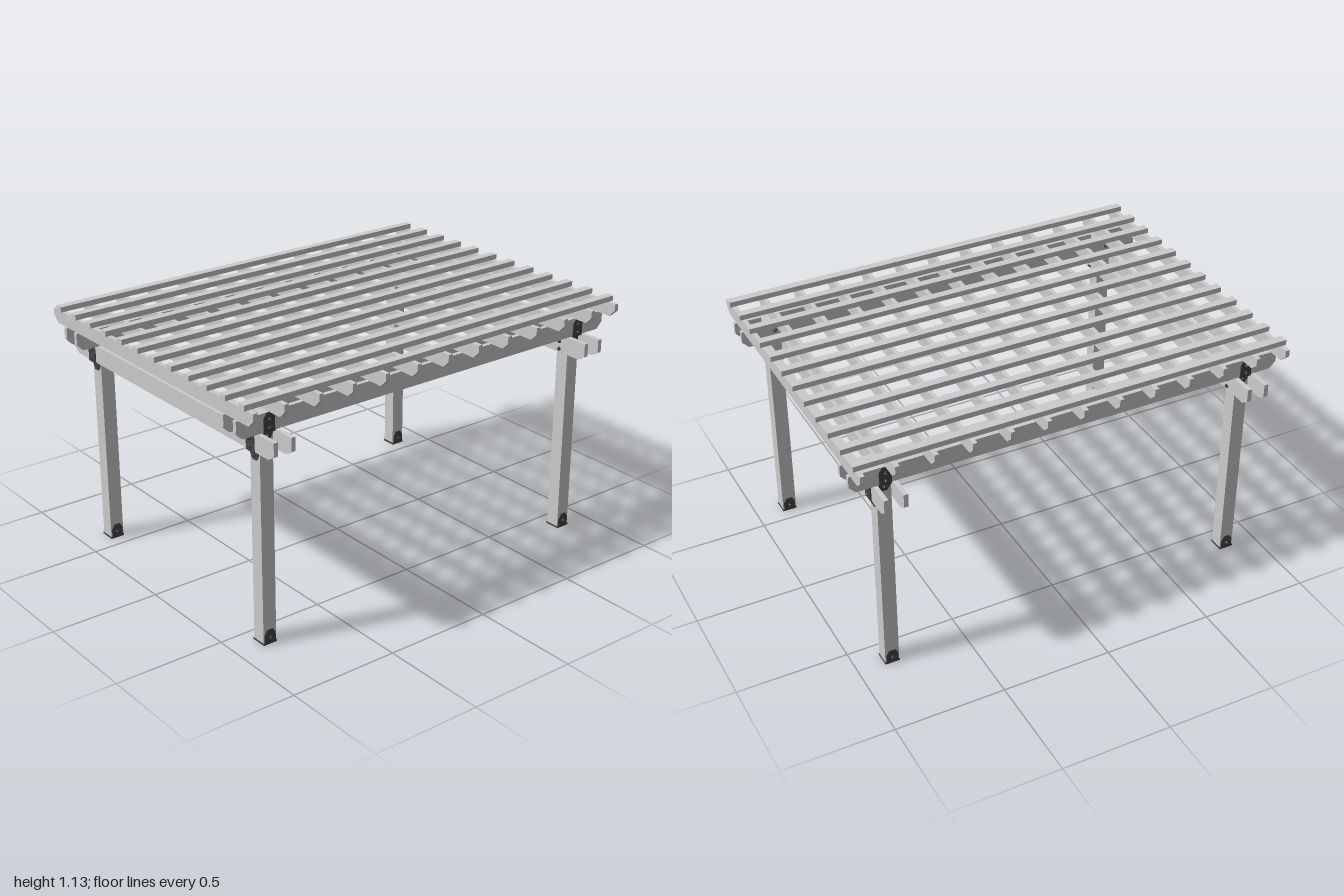
import * as THREE from 'three';

const wood = new THREE.MeshStandardMaterial({ color: 0xcccccc, flatShading: true });
const steel = new THREE.MeshStandardMaterial({ color: 0x444444, flatShading: true });

const POST = 0.064, PX = 0.845, PZ = 0.597, BOARD = 0.02;
const SIDE_Y = 0.876, FRONT_Y = 0.96, RAFTER_Y = 1.042, SLAT_Y = 1.104;

function add(parent, name, geometry, material, x = 0, y = 0, z = 0) {
  const mesh = new THREE.Mesh(geometry, material);
  mesh.name = name;
  mesh.position.set(x, y, z);
  parent.add(mesh);
  return mesh;
}

// Board along x, standing on y = 0, lower end corners cut off
function boardGeometry(length, height, cutX, cutY) {
  const h = length / 2;
  const shape = new THREE.Shape([
    [-h, cutY], [-h + cutX, 0], [h - cutX, 0], [h, cutY], [h, height], [-h, height],
  ].map(([x, y]) => new THREE.Vector2(x, y)));
  return new THREE.ExtrudeGeometry(shape, { depth: BOARD, bevelEnabled: false }).translate(0, 0, -BOARD / 2);
}

// Steel tab in the xy plane with clipped top corners, rising from y = 0, back face on z = 0
function tabGeometry(height) {
  const w = 0.027, c = 0.014;
  const shape = new THREE.Shape([
    [-w, 0], [w, 0], [w, height - 0.022], [c, height], [-c, height], [-w, height - 0.022],
  ].map(([x, y]) => new THREE.Vector2(x, y)));
  return new THREE.ExtrudeGeometry(shape, { depth: 0.004, bevelEnabled: false });
}

// Washer and hexagonal head pointing along +z
function addBolt(parent, x, y, z) {
  const bolt = new THREE.Group();
  bolt.name = 'bolt';
  bolt.position.set(x, y, z);
  add(bolt, 'washer', new THREE.CylinderGeometry(0.009, 0.009, 0.003, 12).rotateX(Math.PI / 2), steel, 0, 0, 0.0015);
  add(bolt, 'boltHead', new THREE.CylinderGeometry(0.004, 0.006, 0.006, 6).rotateX(Math.PI / 2), steel, 0, 0, 0.006);
  parent.add(bolt);
}

// Stepped bracket tying a pair of beams to the post; local +z points outward
function beamBracket() {
  const g = new THREE.Group();
  g.name = 'beamBracket';
  const inner = POST / 2, outer = inner + BOARD;
  add(g, 'upperTab', tabGeometry(0.081), steel, 0, 0, outer);
  const lower = add(g, 'lowerTab', tabGeometry(0.046), steel, 0, 0, inner + 0.004);
  lower.rotation.x = Math.PI;
  add(g, 'shelf', new THREE.BoxGeometry(0.054, 0.004, BOARD + 0.004), steel, 0, -0.002, inner + BOARD / 2 + 0.002);
  for (const y of [0.016, 0.052]) {
    addBolt(g, 0, y, outer + 0.004);
    // Nuts on the inner beam of the pair
    const back = new THREE.Group();
    back.name = 'innerBolt';
    back.rotation.y = Math.PI;
    addBolt(back, 0, y, outer);
    g.add(back);
  }
  addBolt(g, 0, -0.025, inner + 0.004);
  return g;
}

function postAssembly(sx, sz) {
  const g = new THREE.Group();
  g.name = 'postAssembly';
  g.position.set(sx * PX, 0, sz * PZ);
  const top = RAFTER_Y;
  add(g, 'post', new THREE.BoxGeometry(POST, top - 0.008, POST), wood, 0, (top + 0.008) / 2, 0);

  // Post foot with a tab on the front and on the back
  add(g, 'basePlate', new THREE.BoxGeometry(0.067, 0.008, 0.072), steel, 0, 0.004, 0);
  for (const turn of [0, Math.PI]) {
    const foot = new THREE.Group();
    foot.name = 'footTab';
    foot.rotation.y = turn;
    add(foot, 'tab', tabGeometry(0.067), steel, 0, 0, POST / 2);
    addBolt(foot, 0, 0.03, POST / 2 + 0.004);
    g.add(foot);
  }

  const side = beamBracket();
  side.position.y = SIDE_Y;
  side.rotation.y = sx * Math.PI / 2;
  const front = beamBracket();
  front.position.y = FRONT_Y;
  front.rotation.y = sz > 0 ? 0 : Math.PI;
  g.add(side, front);
  return g;
}

export function createModel() {
  const model = new THREE.Group();
  model.name = 'pergola';

  for (const sx of [-1, 1]) for (const sz of [-1, 1]) model.add(postAssembly(sx, sz));

  // Paired beams: the lower pairs run front to back, the upper pairs side to side
  const sideBeam = boardGeometry(1.5, 0.082, 0.036, 0.022).rotateY(Math.PI / 2);
  const longBeam = boardGeometry(2, 0.082, 0.03, 0.03);
  const offset = (POST + BOARD) / 2;
  for (const s of [-1, 1]) for (const o of [-offset, offset]) {
    add(model, 'sideBeam', sideBeam, wood, s * PX + o, SIDE_Y, 0);
    add(model, 'longBeam', longBeam, wood, 0, FRONT_Y, s * PZ + o);
  }

  // Rafters, the outermost pulled in to the beam ends
  const rafter = boardGeometry(1.5, SLAT_Y - RAFTER_Y, 0.032, 0.03).rotateY(Math.PI / 2);
  for (let i = -6; i <= 6; i++) {
    const x = Math.abs(i) === 6 ? Math.sign(i) * 0.98 : i / 6;
    add(model, 'rafter', rafter, wood, x, RAFTER_Y, 0);
  }

  // Shade slats
  const slat = new THREE.BoxGeometry(2, 0.024, 0.038);
  for (let i = 0; i < 12; i++) {
    add(model, 'slat', slat, wood, 0, SLAT_Y + 0.012, (i - 5.5) * 0.1252);
  }
  return model;
}
